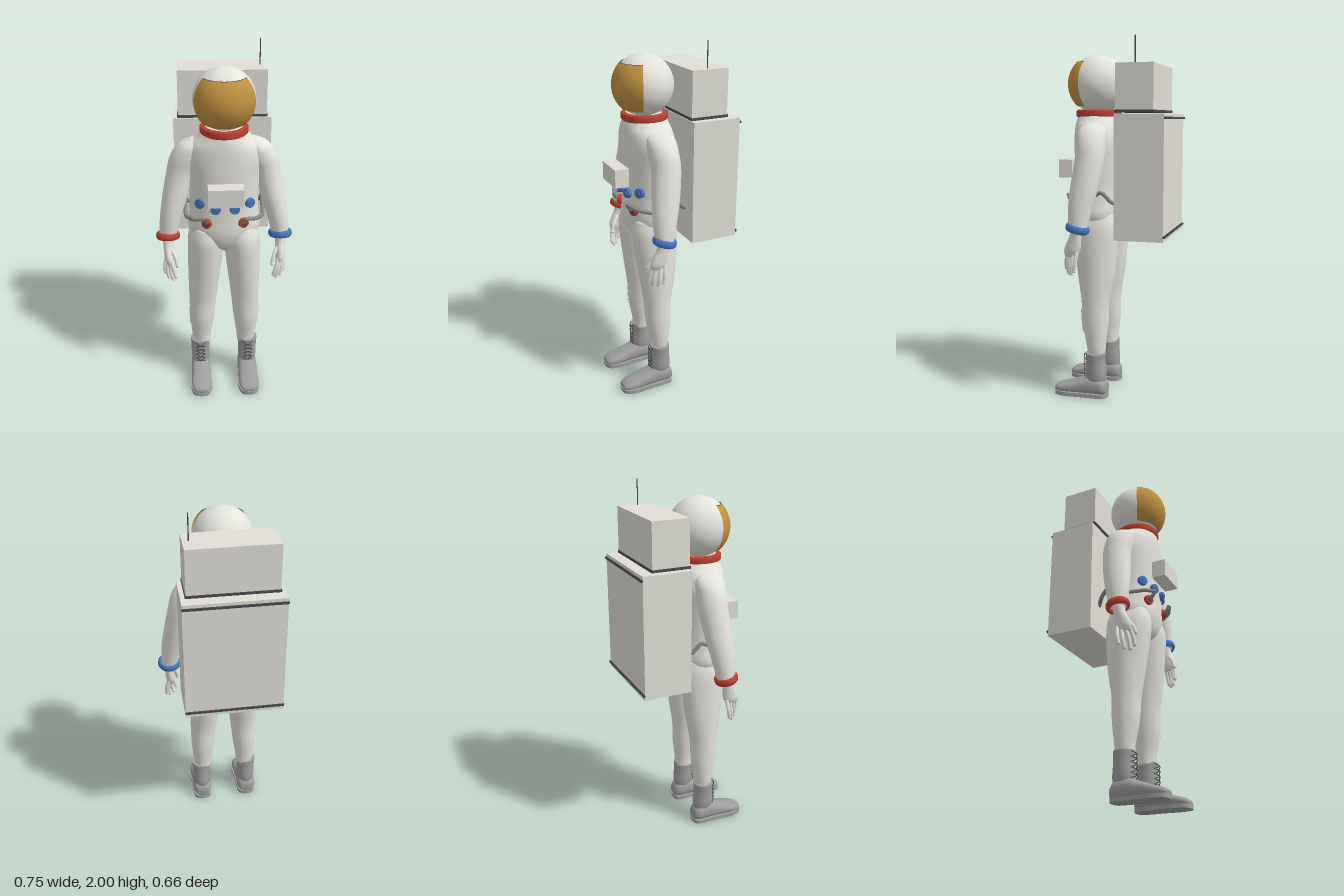
import * as THREE from 'three';

const mat = (name, color, side = THREE.FrontSide) => {
  const m = new THREE.MeshStandardMaterial({ color, side });
  m.name = name;
  return m;
};

// Smooth skin through elliptical cross-sections [cx, y, cz, rx, rz], listed bottom to top; power > 2 squares them off
function loft(sections, { a0 = 0, a1 = Math.PI * 2, from = 0, to = 1, grow = 0, power = 2, rows = 36, cols = 36 } = {}) {
  const centre = new THREE.CatmullRomCurve3(sections.map(s => new THREE.Vector3(s[0], s[1], s[2])), false, 'catmullrom');
  const radius = new THREE.CatmullRomCurve3(sections.map(s => new THREE.Vector3(s[3], 0, s[4])), false, 'catmullrom');
  const closed = a1 - a0 > 6.28, n = closed ? cols : cols + 1;
  const pos = [], idx = [];
  const bend = v => Math.sign(v) * Math.abs(v) ** (2 / power);
  for (let i = 0; i <= rows; i++) {
    const t = from + (to - from) * i / rows, c = centre.getPoint(t), r = radius.getPoint(t);
    for (let j = 0; j < n; j++) {
      const a = a0 + (a1 - a0) * j / cols;
      pos.push(c.x + (r.x + grow) * bend(Math.cos(a)), c.y, c.z + (r.z + grow) * bend(Math.sin(a)));
    }
  }
  for (let i = 0; i < rows; i++) for (let j = 0; j < cols; j++) {
    const p = i * n + j, q = i * n + (j + 1) % n;
    idx.push(p, p + n, q, q, p + n, q + n);
  }
  // end caps
  if (closed) [0, rows].forEach(i => {
    const c = centre.getPoint(i ? to : from), k = pos.length / 3;
    pos.push(c.x, c.y, c.z);
    for (let j = 0; j < n; j++) {
      const p = i * n + j, q = i * n + (j + 1) % n;
      i ? idx.push(k, q, p) : idx.push(k, p, q);
    }
  });
  const g = new THREE.BufferGeometry();
  g.setAttribute('position', new THREE.Float32BufferAttribute(pos, 3));
  g.setIndex(idx);
  g.computeVertexNormals();
  return g;
}

const tube = (pts, r, seg = 16, sides = 8, tension = 0.5) => new THREE.TubeGeometry(
  new THREE.CatmullRomCurve3(pts.map(p => new THREE.Vector3(...p)), false, 'catmullrom', tension), seg, r, sides);

export function createModel() {
  const root = new THREE.Group();
  root.name = 'spacesuit';
  const suit = mat('suit white', 0xe4e3dc), pack = mat('pack white', 0xe0ded6);
  const gold = mat('visor gold', 0xbf9140, THREE.DoubleSide), red = mat('red', 0xbf4031), blue = mat('blue', 0x4576be);
  const boot = mat('boot grey', 0x9e9e9e), hose = mat('hose grey', 0x8a8a88), dark = mat('trim dark', 0x4a4a4c);

  const add = (name, geo, material, x = 0, y = 0, z = 0, parent = root) => {
    const m = new THREE.Mesh(geo, material);
    m.name = name;
    m.position.set(x, y, z);
    parent.add(m);
    return m;
  };
  const box = (name, w, h, d, x, y, z, m) => add(name, new THREE.BoxGeometry(w, h, d), m, x, y, z);

  // Torso
  add('torso', loft([
    [0, 0.9, 0.095, 0.03, 0.06], [0, 0.95, 0.095, 0.13, 0.11], [0, 1.03, 0.095, 0.195, 0.134],
    [0, 1.12, 0.095, 0.19, 0.135], [0, 1.2, 0.095, 0.186, 0.136], [0, 1.35, 0.095, 0.195, 0.142],
    [0, 1.45, 0.095, 0.207, 0.142], [0, 1.52, 0.1, 0.185, 0.135], [0, 1.565, 0.105, 0.14, 0.124],
    [0, 1.6, 0.107, 0.113, 0.113]], { cols: 48 }), suit);

  // Helmet, visor and neck ring
  const hz = 0.112, hy = 1.763, half = 1.17;
  add('helmet', new THREE.SphereGeometry(0.162, 48, 32), suit, 0, hy, hz);
  add('visor', new THREE.SphereGeometry(0.168, 40, 24, Math.PI / 2 - half, half * 2, 0.79, 1.58), gold, 0, hy, hz);
  for (const [name, theta] of [['visorTopRim', 0.78], ['visorBottomRim', 2.37]]) {
    const rim = add(name, new THREE.TorusGeometry(0.166 * Math.sin(theta), 0.002, 6, 40, half * 2), dark,
      0, hy + 0.166 * Math.cos(theta), hz);
    rim.rotation.set(Math.PI / 2, 0, Math.PI / 2 - half);
  }
  add('neckRing', new THREE.LatheGeometry([[0.1, -0.02], [0.12, -0.02], [0.126, -0.013], [0.126, 0.013], [0.12, 0.02], [0.1, 0.02]]
    .map(p => new THREE.Vector2(...p)), 48), red, 0, 1.602, 0.107);

  // Life support pack
  box('mainPack', 0.53, 0.67, 0.268, 0, 1.265, -0.189, pack);
  box('upperPack', 0.476, 0.25, 0.205, 0, 1.735, -0.1575, pack);
  box('upperPackTrim', 0.484, 0.014, 0.213, 0, 1.612, -0.1575, dark);
  for (const y of [1.577, 0.957]) box('packBar', 0.534, 0.012, 0.008, 0, y, -0.327, dark);
  add('antenna', new THREE.CylinderGeometry(0.003, 0.003, 0.14, 8), dark, 0.205, 1.93, -0.155);

  // Chest box and connectors
  box('chestBox', 0.184, 0.1, 0.078, 0, 1.295, 0.278, pack);
  const knob = (name, x, y, z, m) => {
    const g = new THREE.Group();
    g.name = name;
    g.position.set(x, y, z);
    g.rotation.y = x * 4;
    root.add(g);
    const ring = new THREE.CylinderGeometry(0.026, 0.03, 0.034, 20).rotateX(Math.PI / 2);
    add(name + 'Body', ring, m, 0, 0, 0, g);
    add(name + 'Cap', new THREE.CylinderGeometry(0.014, 0.014, 0.008, 12).rotateX(Math.PI / 2), m === red ? dark : blue, 0, 0, 0.019, g);
  };
  for (const s of [-1, 1]) {
    knob('blueConnector', s * 0.13, 1.215, 0.192, blue);
    knob('blueConnector', s * 0.05, 1.195, 0.228, blue);
    knob('redConnector', s * 0.097, 1.105, 0.212, red);
  }

  // Limbs, mirrored about x = 0
  for (const s of [1, -1]) {
    const side = s > 0 ? 'left' : 'right';
    const flip = rows => rows.map(([x, ...rest]) => [s * x, ...rest]);

    add(side + 'Hose', tube(flip([[0.1, 1.15, 0.258], [0.165, 1.135, 0.225], [0.208, 1.12, 0.15],
      [0.213, 1.18, 0.03], [0.205, 1.13, -0.02], [0.16, 1.1, -0.06]]), 0.011, 30, 8, 0.1), hose);
    add(side + 'HoseEnd', tube(flip([[0.1, 1.105, 0.22], [0.1, 1.13, 0.245], [0.1, 1.152, 0.258]]), 0.011), hose);

    add(side + 'Arm', loft(flip([
      [0.31, 0.985, 0.132, 0.047, 0.05], [0.293, 1.1, 0.122, 0.058, 0.066], [0.266, 1.22, 0.105, 0.068, 0.077],
      [0.232, 1.36, 0.088, 0.075, 0.08], [0.197, 1.45, 0.09, 0.087, 0.082], [0.17, 1.515, 0.092, 0.068, 0.074],
      [0.145, 1.548, 0.095, 0.03, 0.035]])), suit);
    const cuff = add(side + 'WristRing', new THREE.TorusGeometry(0.054, 0.012, 10, 36).scale(1, 1, 1.7).rotateX(Math.PI / 2),
      s > 0 ? blue : red, s * 0.31, 0.994, 0.132);
    cuff.rotation.x = -0.25;

    // Glove
    add(side + 'Palm', loft(flip([
      [0.304, 0.84, 0.17, 0.016, 0.035], [0.307, 0.87, 0.165, 0.025, 0.045], [0.31, 0.91, 0.155, 0.026, 0.042],
      [0.311, 0.95, 0.144, 0.028, 0.033], [0.31, 0.99, 0.135, 0.035, 0.035]]), { rows: 20, cols: 20 }), suit);
    const fingers = [
      [[0.318, 0.87, 0.133], [0.333, 0.81, 0.14], [0.332, 0.765, 0.148]],
      [[0.312, 0.86, 0.155], [0.32, 0.79, 0.165], [0.312, 0.745, 0.17]],
      [[0.304, 0.86, 0.175], [0.3, 0.79, 0.19], [0.288, 0.745, 0.192]],
      [[0.298, 0.87, 0.192], [0.285, 0.815, 0.206], [0.272, 0.77, 0.21]],
      [[0.295, 0.925, 0.165], [0.272, 0.885, 0.195], [0.262, 0.84, 0.212]]];
    fingers.forEach((f, i) => {
      const name = side + (i < 4 ? 'Finger' : 'Thumb'), pts = flip(f);
      add(name, tube(pts, 0.0105, 10), suit);
      add(name + 'Tip', new THREE.SphereGeometry(0.0105, 10, 8), suit, ...pts[2]);
    });

    // Leg and knee patch
    const leg = flip([
      [0.13, 0.24, 0.085, 0.05, 0.05], [0.133, 0.3, 0.086, 0.058, 0.055], [0.129, 0.42, 0.09, 0.071, 0.073],
      [0.123, 0.55, 0.092, 0.079, 0.08], [0.115, 0.7, 0.09, 0.089, 0.104], [0.106, 0.85, 0.093, 0.098, 0.122],
      [0.099, 0.97, 0.096, 0.101, 0.129], [0.092, 1.05, 0.095, 0.09, 0.113]]);
    add(side + 'Leg', loft(leg), suit);
    const [p0, p1] = [0.3, 1.45];
    add(side + 'KneePatch', loft(leg, {
      a0: s > 0 ? p0 : Math.PI - p1, a1: s > 0 ? p1 : Math.PI - p0,
      from: 0.24, to: 0.385, grow: 0.006, rows: 8, cols: 12 }), suit);

    // Boot
    const bx = s * 0.142;
    add(side + 'BootShaft', loft([
      [bx, 0.05, 0.085, 0.035, 0.045], [bx, 0.12, 0.085, 0.053, 0.06], [bx, 0.2, 0.086, 0.055, 0.055],
      [bx, 0.25, 0.087, 0.058, 0.057], [bx, 0.258, 0.087, 0.056, 0.055]], { rows: 20 }), boot);
    add(side + 'BootFoot', loft([
      [bx, 0.02, -0.05, 0.035, 0.032], [bx, 0.05, -0.062, 0.054, 0.047], [bx, 0.12, -0.065, 0.056, 0.052],
      [bx, 0.18, -0.055, 0.056, 0.042], [bx, 0.25, -0.043, 0.058, 0.03], [bx, 0.3, -0.036, 0.05, 0.022],
      [bx, 0.325, -0.03, 0.032, 0.013]], { power: 2.5, rows: 24 }).rotateX(Math.PI / 2), boot);
    const sole = new THREE.Shape(new THREE.SplineCurve([
      [0, 0.014], [0.045, 0.03], [0.054, 0.09], [0.056, 0.17], [0.062, 0.25], [0.045, 0.315], [0, 0.33],
      [-0.045, 0.315], [-0.062, 0.25], [-0.056, 0.17], [-0.054, 0.09], [-0.045, 0.03], [0, 0.014]]
      .map(p => new THREE.Vector2(...p))).getPoints(48));
    add(side + 'Sole', new THREE.ExtrudeGeometry(sole, { depth: 0.022, bevelEnabled: false })
      .rotateX(Math.PI / 2), boot, bx, 0.022, 0);

    // Crossed laces
    for (let i = 0; i < 5; i++) {
      const y = 0.115 + i * 0.027;
      for (const k of [-1, 1]) {
        add(side + 'Lace', tube([[bx - k * 0.028, y, 0.139], [bx, y + 0.013, 0.157], [bx + k * 0.028, y + 0.027, 0.139]],
          0.0026, 8, 5), dark);
        add(side + 'LaceHook', new THREE.SphereGeometry(0.006, 8, 6), hose, bx + k * 0.029, y, 0.14);
      }
    }
  }
  return root;
}
